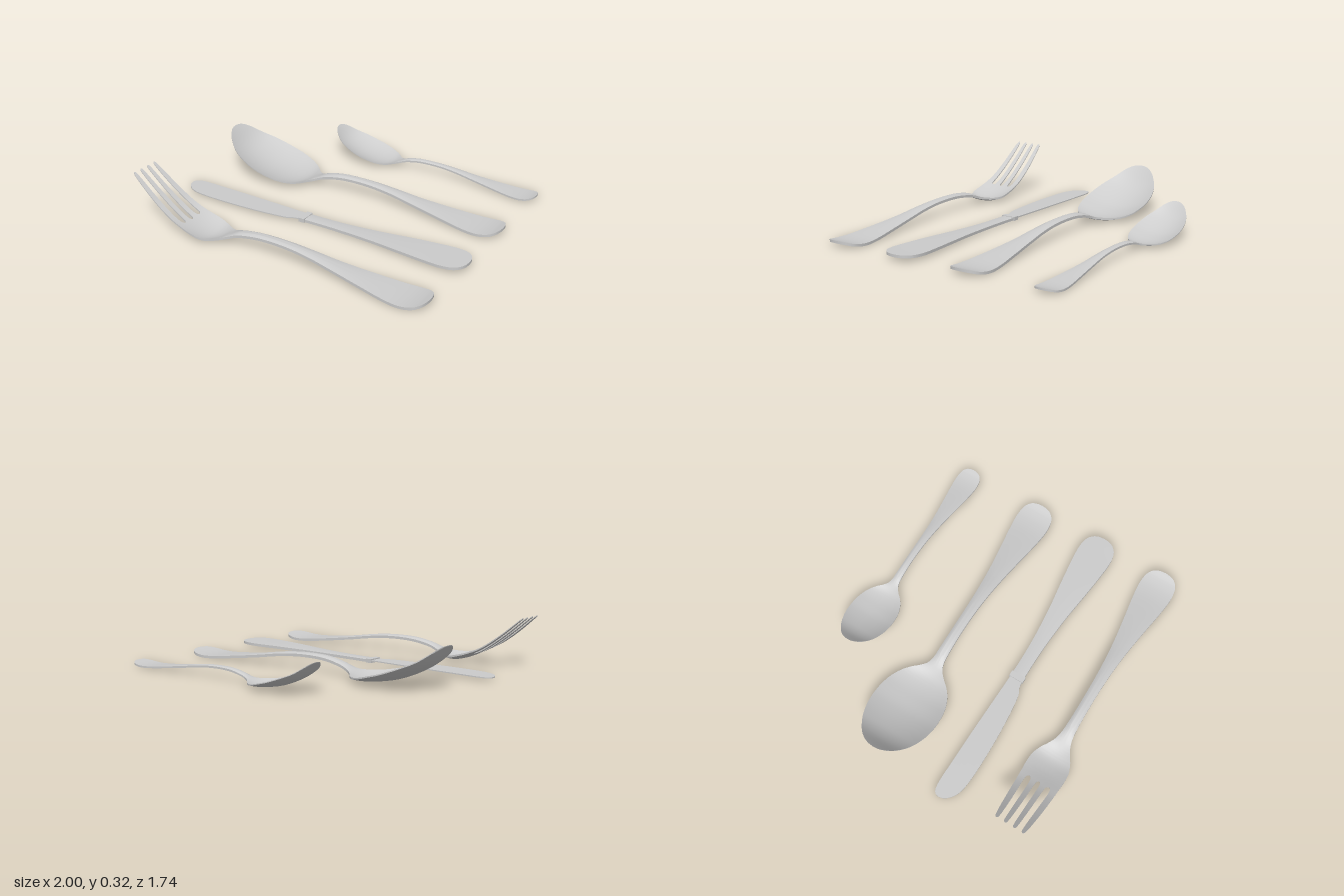
import * as THREE from 'three';
import { toCreasedNormals } from 'three/addons/utils/BufferGeometryUtils.js';

const steel = new THREE.MeshStandardMaterial({ color: 0xcccccc, metalness: 0, roughness: 0.6 });

// Smooth value at x through a list of [x, value] points (cubic Hermite)
function smooth(points) {
  const slope = (i) => {
    const a = points[Math.max(i - 1, 0)], b = points[Math.min(i + 1, points.length - 1)];
    return (b[1] - a[1]) / (b[0] - a[0]);
  };
  return (x) => {
    let i = 0;
    while (i < points.length - 2 && x > points[i + 1][0]) i++;
    const [x0, y0] = points[i], [x1, y1] = points[i + 1], h = x1 - x0;
    const t = THREE.MathUtils.clamp((x - x0) / h, 0, 1), t2 = t * t, t3 = t2 * t;
    return y0 * (2 * t3 - 3 * t2 + 1) + y1 * (3 * t2 - 2 * t3)
      + h * (slope(i) * (t3 - 2 * t2 + t) + slope(i + 1) * (t3 - t2));
  };
}

// Curved sheet: outline rows are [x, zMin, zMax]; height(x, z, halfWidth) is its middle surface
function sheet(name, outline, height, thickness, steps, n = 14) {
  const curve = new THREE.CatmullRomCurve3(outline.map((p) => new THREE.Vector3(...p)));
  const rows = curve.getPoints(steps), m = 2 * (n + 1), pos = [], index = [];
  for (const { x, y: lo, z: hi } of rows) {
    const half = thickness(x) / 2;
    for (let j = 0; j < m; j++) {
      const top = j <= n, u = (top ? j : m - 1 - j) / n;
      const z = lo + (hi - lo) * u;
      pos.push(x, height(x, z, (hi - lo) / 2) + (top ? half : -half), z);
    }
  }
  for (let i = 0; i < rows.length - 1; i++) {
    for (let j = 0; j < m; j++) {
      const a = i * m + j, c = i * m + (j + 1) % m;
      index.push(a, c, a + m, c, c + m, a + m);
    }
  }
  // End caps
  const last = (rows.length - 1) * m;
  for (let j = 0; j < n; j++) {
    const a = j, b = j + 1, c = m - 2 - j, d = m - 1 - j;
    index.push(a, c, b, a, d, c);
    index.push(last + a, last + b, last + c, last + a, last + c, last + d);
  }
  const geo = new THREE.BufferGeometry();
  geo.setAttribute('position', new THREE.Float32BufferAttribute(pos, 3));
  geo.setIndex(index);
  const mesh = new THREE.Mesh(toCreasedNormals(geo, 0.8), steel);
  mesh.name = name;
  return mesh;
}

const symmetric = (rows) => rows.map(([x, w]) => [x, -w, w]);
const widths = [[-0.2, 0.034], [0, 0.032], [0.2, 0.038], [0.4, 0.055], [0.6, 0.082], [0.75, 0.104],
  [0.87, 0.114], [0.94, 0.102], [0.975, 0.074], [0.99, 0.04], [0.995, 0.003]];
const handleRise = [[-0.15, 0.1], [-0.05, 0.106], [0.1, 0.102], [0.25, 0.086], [0.4, 0.062],
  [0.6, 0.034], [0.78, 0.013], [0.87, 0.011], [0.94, 0.02], [0.995, 0.036]];
const handleDish = [[-0.2, -0.012], [0, -0.01], [0.4, -0.006], [0.85, 0], [1, 0]];

// Middle line plus a dish that lifts (or lowers) the edges
function dished(centre, dish) {
  const c = smooth(centre), d = smooth(dish);
  return (x, z, w) => c(x) + d(x) * (z / w) ** 2;
}

function spoon(name) {
  const g = new THREE.Group();
  g.name = name;
  const outline = symmetric([[-0.985, 0.003], [-0.98, 0.04], [-0.965, 0.075], [-0.93, 0.12], [-0.85, 0.176],
    [-0.75, 0.21], [-0.64, 0.22], [-0.53, 0.205], [-0.45, 0.17], [-0.4, 0.13], [-0.36, 0.085],
    [-0.32, 0.051], [-0.28, 0.038], ...widths]);
  const height = dished(
    [[-0.985, 0.262], [-0.9, 0.165], [-0.82, 0.107], [-0.68, 0.046], [-0.56, 0.019], [-0.47, 0.01],
      [-0.4, 0.016], [-0.33, 0.042], [-0.25, 0.077], ...handleRise],
    [[-0.985, 0], [-0.9, 0.026], [-0.8, 0.045], [-0.64, 0.05], [-0.5, 0.036], [-0.4, 0.018],
      [-0.32, -0.003], ...handleDish]);
  const thick = smooth([[-1, 0.006], [-0.5, 0.009], [-0.25, 0.016], [1, 0.016]]);
  g.add(sheet('bowlAndHandle', outline, height, thick, 160));
  return g;
}

function fork() {
  const g = new THREE.Group();
  g.name = 'fork';
  const root = -0.612;
  const height = dished(
    [[-0.968, 0.322], [-0.82, 0.2], [-0.68, 0.1], [-0.6, 0.058], [-0.52, 0.025], [-0.45, 0.01],
      [-0.39, 0.019], [-0.33, 0.045], [-0.25, 0.08], ...handleRise],
    [[-0.97, 0], [-0.75, 0.002], [-0.612, 0.014], [-0.5, 0.024], [-0.4, 0.015], [-0.32, -0.003], ...handleDish]);
  const thick = smooth([[-1, 0.006], [-0.6, 0.01], [-0.25, 0.016], [1, 0.016]]);
  const outline = symmetric([[root, 0.126], [-0.55, 0.13], [-0.48, 0.127], [-0.42, 0.106], [-0.375, 0.078],
    [-0.33, 0.054], [-0.28, 0.04], ...widths]);
  g.add(sheet('headAndHandle', outline, height, thick, 120));
  // Tines: one outer and one inner, mirrored, with flared roots
  const tines = {
    outerTine: [[-0.968, 0.085, 0.088], [-0.962, 0.079, 0.095], [-0.94, 0.076, 0.101], [-0.8, 0.079, 0.115],
      [-0.64, 0.084, 0.125], [-0.622, 0.08, 0.126], [root, 0.069, 0.126]],
    innerTine: [[-0.968, 0.028, 0.032], [-0.962, 0.021, 0.039], [-0.94, 0.018, 0.042], [-0.8, 0.015, 0.046],
      [-0.64, 0.014, 0.05], [-0.622, 0.011, 0.054], [root, 0.001, 0.067]],
  };
  for (const [name, rows] of Object.entries(tines)) {
    const mirrored = rows.map(([x, lo, hi]) => [x, -hi, -lo]);
    for (const r of [rows, mirrored]) g.add(sheet(name, r, (x, z) => height(x, z, 0.126), thick, 42, 4));
  }
  return g;
}

function knife() {
  const g = new THREE.Group();
  g.name = 'knife';
  // Blade, with a straight back and a bellied edge
  const blade = [[-1, -0.022, -0.012], [-0.993, -0.04, 0.015], [-0.975, -0.053, 0.04], [-0.94, -0.06, 0.068],
    [-0.89, -0.062, 0.087], [-0.8, -0.06, 0.097], [-0.6, -0.056, 0.099], [-0.4, -0.05, 0.09],
    [-0.25, -0.045, 0.075], [-0.2, -0.043, 0.066], [-0.16, -0.042, 0.048], [-0.105, -0.041, 0.041]];
  g.add(sheet('blade', blade, () => 0.019, () => 0.007, 90, 6));
  // Handle
  const outline = symmetric([[-0.105, 0.041], [0.05, 0.041], [0.2, 0.047], [0.4, 0.064], [0.6, 0.09], [0.75, 0.107],
    [0.87, 0.115], [0.94, 0.103], [0.977, 0.075], [0.995, 0.04], [1, 0.003]]);
  const height = dished([[-0.11, 0.018], [0.2, 0.021], [0.6, 0.029], [0.85, 0.031], [1, 0.034]],
    [[-0.11, -0.003], [0.5, -0.002], [1, 0]]);
  g.add(sheet('handle', outline, height, () => 0.017, 90));
  // Collar between blade and handle
  const collar = new THREE.Mesh(new THREE.BoxGeometry(0.038, 0.025, 0.097), steel);
  collar.name = 'collar';
  collar.position.set(-0.105, 0.0175, 0);
  g.add(collar);
  return g;
}

export function createModel() {
  const model = new THREE.Group();
  model.name = 'cutlerySet';
  const big = spoon('tablespoon');
  big.position.z = -0.19;
  const small = spoon('teaspoon');
  small.scale.set(0.747, 0.7, 0.675);
  small.position.set(0.244, 0.003, -0.72);
  const k = knife();
  k.position.z = 0.28;
  const f = fork();
  f.position.z = 0.737;
  model.add(big, small, k, f);
  return model;
}
